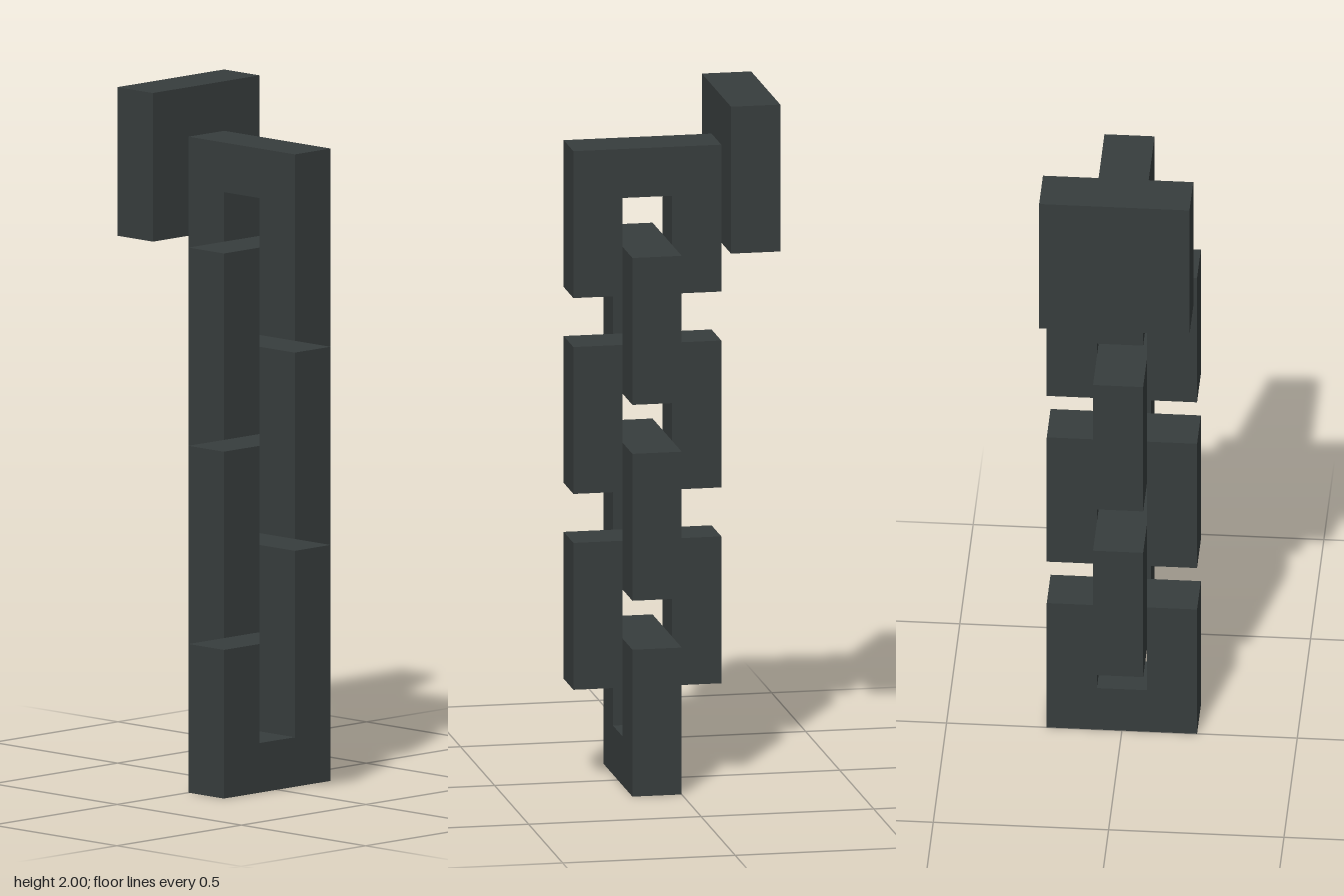
import * as THREE from 'three';

export function createModel() {
  const u = 1 / 7; // bar thickness: everything sits on this grid
  const iron = new THREE.MeshStandardMaterial({ color: 0x373d3d });
  iron.name = 'darkIron';

  // Square ring, 3 x 3 bars with a 1 x 1 opening, one bar thick
  const square = (P, s) => new P([
    new THREE.Vector2(-s, -s), new THREE.Vector2(s, -s),
    new THREE.Vector2(s, s), new THREE.Vector2(-s, s),
  ]);
  const ring = square(THREE.Shape, 1.5 * u);
  ring.holes.push(square(THREE.Path, 0.5 * u));
  const linkGeometry = new THREE.ExtrudeGeometry(ring, { depth: u, bevelEnabled: false });
  linkGeometry.translate(0, 0, -u / 2);

  const model = new THREE.Group();
  model.name = 'wallChain';

  // Six links, each turned a quarter from the one below
  for (let i = 0; i < 6; i++) {
    const link = new THREE.Mesh(linkGeometry, iron);
    link.name = `chainLink${i + 1}`;
    link.position.set(0, (1.5 + 2 * i) * u, 0.5 * u);
    link.rotation.y = (i % 2) * Math.PI / 2;
    model.add(link);
  }

  // Mounting plate behind the top link
  const plate = new THREE.Mesh(new THREE.BoxGeometry(3 * u, 3 * u, u), iron);
  plate.name = 'wallPlate';
  plate.position.set(0, 12.5 * u, -1.5 * u);
  model.add(plate);

  return model;
}
